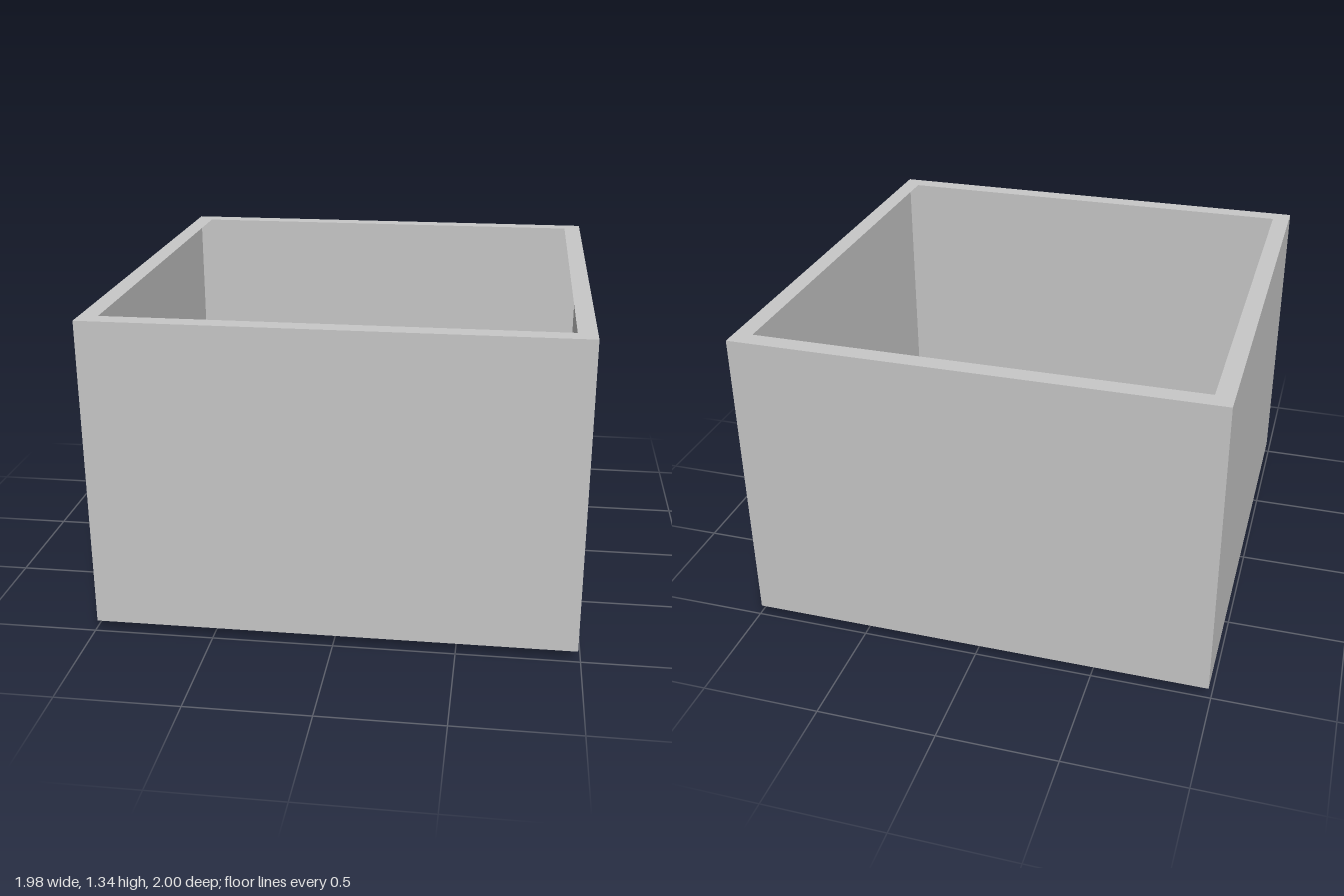
import * as THREE from 'three';

export function createModel() {
  const model = new THREE.Group();
  const grey = new THREE.MeshStandardMaterial({ color: 0xc8c8c8, side: THREE.DoubleSide });
  grey.name = 'plain grey';

  const bottom = 0.047, top = 1.343, height = top - bottom;
  const outerX = 0.988, outerZ = 1, openingX = 0.913, openingZ = 0.923;

  const add = (name, geometry, x, y, z) => {
    const mesh = new THREE.Mesh(geometry, grey);
    mesh.name = name;
    mesh.position.set(x, y, z);
    model.add(mesh);
    return mesh;
  };
  const corners = (x, z) => [[-x, -z], [x, -z], [x, z], [-x, z]].map(p => new THREE.Vector2(...p));

  // Four thin walls: name, turn about y, width, distance from the centre
  const walls = [
    ['frontWall', 0, outerX * 2, outerZ],
    ['leftWall', Math.PI / 2, outerZ * 2, outerX],
    ['backWall', Math.PI, outerX * 2, outerZ],
    ['rightWall', -Math.PI / 2, outerZ * 2, outerX],
  ];
  for (const [name, turn, width, distance] of walls) {
    const x = Math.sin(turn) * distance, z = Math.cos(turn) * distance;
    add(name, new THREE.PlaneGeometry(width, height), x, bottom + height / 2, z).rotation.y = turn;
  }

  // Thin floor sheet, facing down on the outside
  add('floor', new THREE.PlaneGeometry(outerX * 2, outerZ * 2), 0, bottom, 0).rotation.x = Math.PI / 2;

  // Flat rim around the top opening
  const rim = new THREE.Shape(corners(outerX, outerZ));
  rim.holes.push(new THREE.Path(corners(openingX, openingZ).reverse()));
  add('rim', new THREE.ShapeGeometry(rim), 0, top, 0).rotation.x = -Math.PI / 2;

  // Small cubes in and on the floor: name, x, z, size, low y
  const cubes = [
    ['smallFootCube', -0.057, -0.427, 0.085, 0.019],
    ['largeFootCube', 0.108, -0.455, 0.097, 0],
    ['floorCube', 0.463, -0.048, 0.11, 0.05],
    ['floorPin', -0.006, -0.682, 0.02, 0.05],
  ];
  for (const [name, x, z, size, low] of cubes) {
    add(name, new THREE.BoxGeometry(size, size, size), x, low + size / 2, z);
  }

  // Round plug through the floor
  add('roundPlug', new THREE.CylinderGeometry(0.06, 0.06, 0.1, 48), 0, 0.08, -0.015);

  return model;
}
